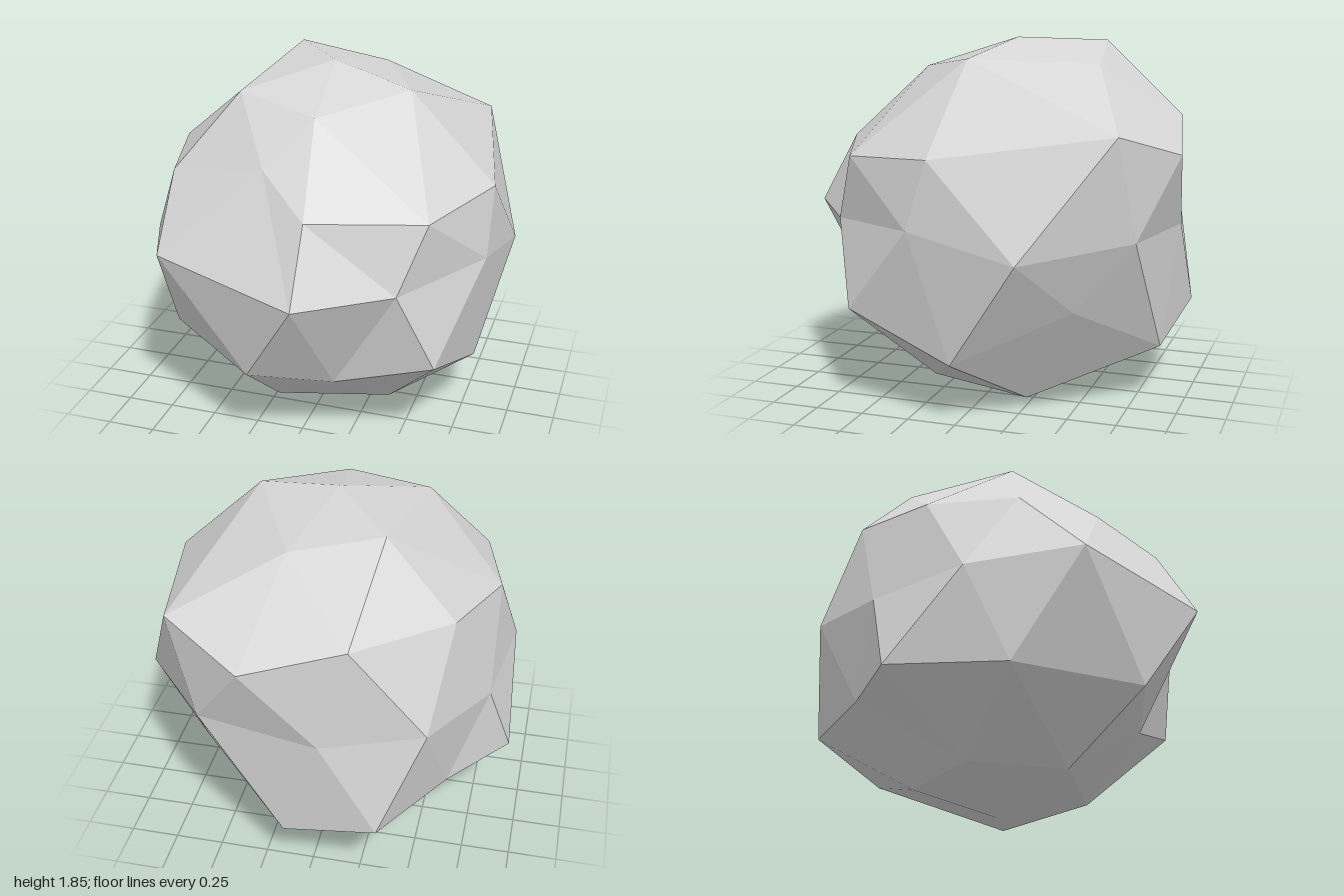
import * as THREE from 'three';

// Cross-sections of the boulder from top to bottom, each running from +x round towards +z
const top = [0, 1.85, -0.08];
const crown = [
  [0.43, 1.765, 0.04], [0.045, 1.695, 0.4], [-0.405, 1.735, 0.21], [-0.305, 1.825, -0.48], [0.15, 1.73, -0.555],
];
const shoulder = [
  [0.877, 1.33, 0.085], [0.66, 1.295, 0.575], [0.115, 1.32, 0.795], [-0.16, 1.48, 0.585], [-0.705, 1.35, 0.4],
  [-0.82, 1.375, -0.055], [-0.655, 1.45, -0.55], [-0.215, 1.455, -0.905], [0.285, 1.32, -1], [0.69, 1.45, -0.78],
];
const waist = [
  [0.873, 0.985, 0.195], [0.54, 0.955, 0.695], [0.115, 0.957, 1], [-0.67, 1.02, 0.73], [-0.9, 0.935, 0.205],
  [-0.825, 0.91, -0.34], [-0.58, 0.98, -0.835], [-0.075, 0.91, -0.94], [0.545, 0.93, -0.84], [0.93, 0.87, -0.365],
];
const skirt = [
  [0.803, 0.32, 0.005], [0.71, 0.53, 0.578], [0.21, 0.395, 0.62], [-0.182, 0.473, 0.81], [-0.74, 0.47, 0.37],
  [-0.935, 0.49, -0.2], [-0.65, 0.47, -0.53], [-0.365, 0.44, -0.957], [0.12, 0.305, -0.885], [0.6, 0.58, -0.555],
];
const foot = [
  [0.4, 0.125, 0.235], [-0.165, 0.125, 0.39], [-0.435, 0.15, -0.025], [-0.22, 0.13, -0.45], [0.4, 0.052, -0.26],
];
const bottom = [0.01, 0, -0.1];

function boulderGeometry() {
  const positions = [];
  const tri = (a, b, c) => positions.push(...a, ...b, ...c);
  const at = (ring, i) => ring[(i + ring.length) % ring.length];

  // Top and bottom caps, five sectors each
  for (let i = 0; i < 5; i++) {
    const a = crown[i], a1 = at(crown, i + 1), m = at(shoulder, 2 * i + 1);
    tri(top, a1, a);
    tri(a, m, shoulder[2 * i]);
    tri(a, shoulder[2 * i], at(shoulder, 2 * i - 1));
    tri(a, a1, m);

    const d = foot[i], d1 = at(foot, i + 1), n = at(skirt, 2 * i + 2);
    tri(skirt[2 * i], skirt[2 * i + 1], d);
    tri(skirt[2 * i + 1], n, d);
    tri(n, d1, d);
    tri(bottom, d, d1);
  }

  // Two zigzag bands round the middle
  for (let j = 0; j < 10; j++) {
    tri(shoulder[j], at(shoulder, j + 1), waist[j]);
    tri(shoulder[j], waist[j], at(waist, j - 1));
    tri(waist[j], at(skirt, j + 1), skirt[j]);
    tri(waist[j], at(waist, j + 1), at(skirt, j + 1));
  }

  const geometry = new THREE.BufferGeometry();
  geometry.setAttribute('position', new THREE.Float32BufferAttribute(positions, 3));
  geometry.computeVertexNormals();
  return geometry;
}

export function createModel() {
  const stone = new THREE.MeshStandardMaterial({ color: 0xd6d6d6 });
  stone.name = 'pale stone grey';
  stone.flatShading = true;

  const boulder = new THREE.Mesh(boulderGeometry(), stone);
  boulder.name = 'boulder';

  const group = new THREE.Group();
  group.name = 'rock';
  group.add(boulder);
  return group;
}
